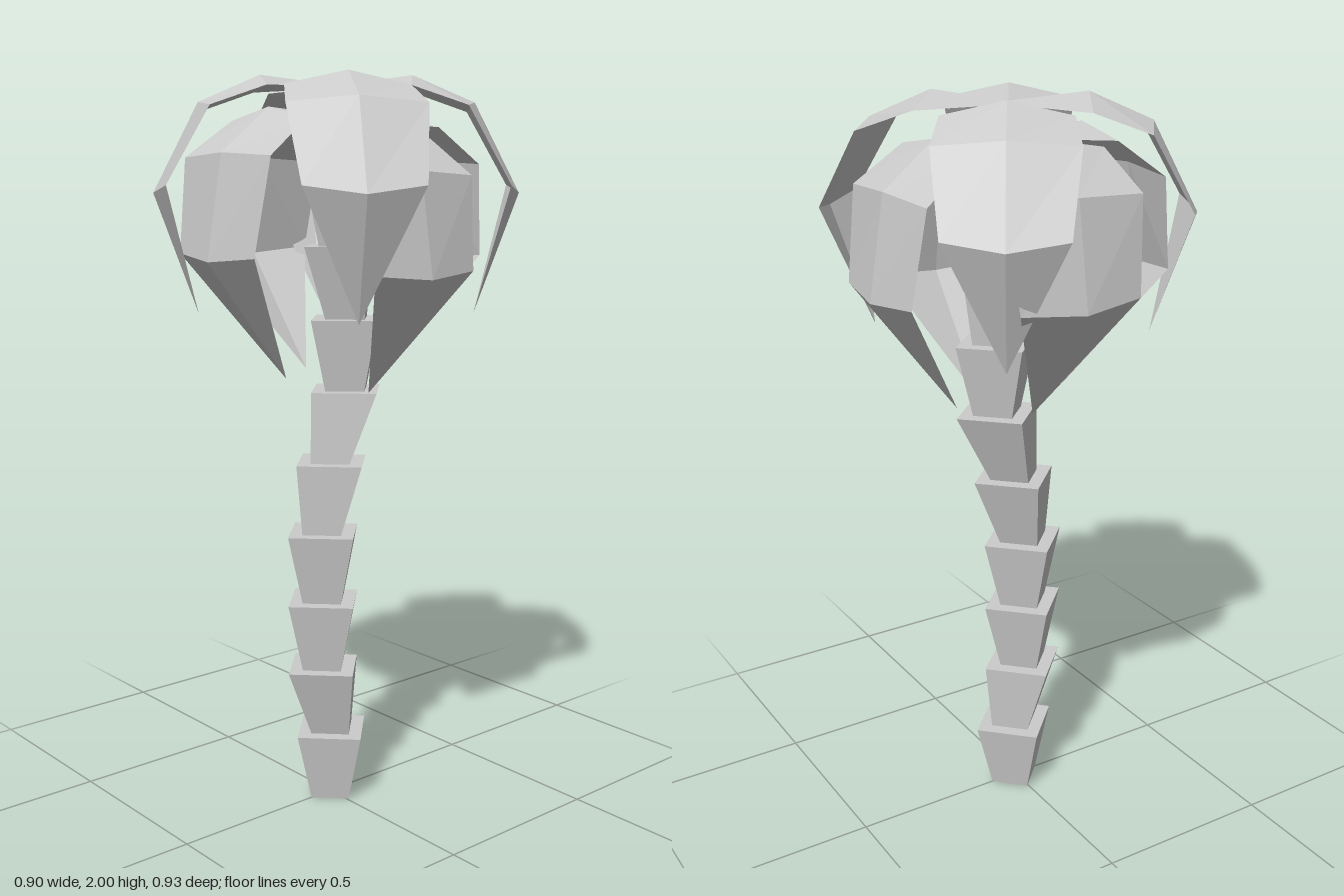
import * as THREE from 'three';

const trunkMaterial = new THREE.MeshStandardMaterial({ color: 0xcccccc, flatShading: true });
const leafMaterial = new THREE.MeshStandardMaterial({
  color: 0xcccccc, flatShading: true, side: THREE.DoubleSide,
});

// Leaf rows: mid reach, mid height, side reach, side height, half width
const upperLeaf = [
  [-0.01, 1.975, -0.01, 1.97, 0.02],
  [0.2, 2.0, 0.2, 1.965, 0.16],
  [0.362, 1.93, 0.344, 1.915, 0.174],
  [0.482, 1.7, 0.455, 1.72, 0.15],
  [0.37, 1.385, 0.37, 1.385, 0],
];
const lowerLeaf = [
  [-0.01, 1.88, -0.01, 1.875, 0.02],
  [0.18, 1.9, 0.18, 1.87, 0.17],
  [0.325, 1.785, 0.31, 1.775, 0.195],
  [0.37, 1.515, 0.345, 1.53, 0.172],
  [0.13, 1.2, 0.13, 1.2, 0],
];

// Folded leaf pointing along +x: three points per row, joined in strips
function leafGeometry(rows, reach) {
  const positions = [];
  const index = [];
  rows.forEach(([r, y, sideR, sideY, w], i) => {
    const d = i === 0 ? 0 : reach;
    positions.push(sideR + d, sideY, w, r + d, y, 0, sideR + d, sideY, -w);
    if (i === 0) return;
    for (let k = 0; k < 2; k++) {
      const a = (i - 1) * 3 + k;
      const b = i * 3 + k;
      index.push(a, b, a + 1);
      index.push(b, b + 1, a + 1);
    }
  });
  // Drop the empty halves where the last strip closes to the tip
  const clean = [];
  const tip = (rows.length - 1) * 3;
  for (let i = 0; i < index.length; i += 3) {
    const t = index.slice(i, i + 3);
    if (t.filter((v) => v >= tip).length < 2) clean.push(...t);
  }
  const geometry = new THREE.BufferGeometry();
  geometry.setAttribute('position', new THREE.Float32BufferAttribute(positions, 3));
  geometry.setIndex(clean);
  geometry.computeVertexNormals();
  return geometry;
}

function addLeaf(parent, name, rows, centreX, dirX, dirZ, reach = 0, lift = 0) {
  const leaf = new THREE.Mesh(leafGeometry(rows, reach), leafMaterial);
  leaf.name = name;
  leaf.position.set(centreX, lift, 0);
  leaf.rotation.y = Math.atan2(-dirZ, dirX);
  parent.add(leaf);
}

export function createModel() {
  const model = new THREE.Group();
  model.name = 'palmTree';

  // Trunk: stacked four-sided cups that lean to follow a bent line
  const trunk = new THREE.Group();
  trunk.name = 'trunk';
  const line = [0.005, 0.005, -0.025, -0.025, -0.025, 0.005, 0.057, 0.057, 0.035, 0.035];
  const step = 0.195;
  for (let i = 0; i < line.length - 1; i++) {
    const geometry = new THREE.CylinderGeometry(0.125, 0.075, step, 4);
    const pos = geometry.attributes.position;
    for (let v = 0; v < pos.count; v++) {
      pos.setX(v, pos.getX(v) + (pos.getY(v) > 0 ? line[i + 1] : line[i]));
    }
    geometry.computeVertexNormals();
    const segment = new THREE.Mesh(geometry, trunkMaterial);
    segment.name = 'trunkSegment';
    segment.position.y = (i + 0.5) * step;
    trunk.add(segment);
  }
  model.add(trunk);

  // Crown: four upper leaves on the diagonals, four lower ones between them
  const crown = new THREE.Group();
  crown.name = 'crown';
  for (const [x, z] of [[0.34, 0.34], [0.26, -0.408], [-0.416, -0.25], [-0.253, 0.408]]) {
    addLeaf(crown, 'upperLeaf', upperLeaf, 0.02, x, z);
  }
  for (const [x, z, reach, lift] of [
    [1, 0, 0, 0], [0, 1, -0.03, -0.03], [0, -1, 0.035, 0.01], [-1, -0.05, 0.065, 0.015],
  ]) {
    addLeaf(crown, 'lowerLeaf', lowerLeaf, 0.05, x, z, reach, lift);
  }
  model.add(crown);

  return model;
}
